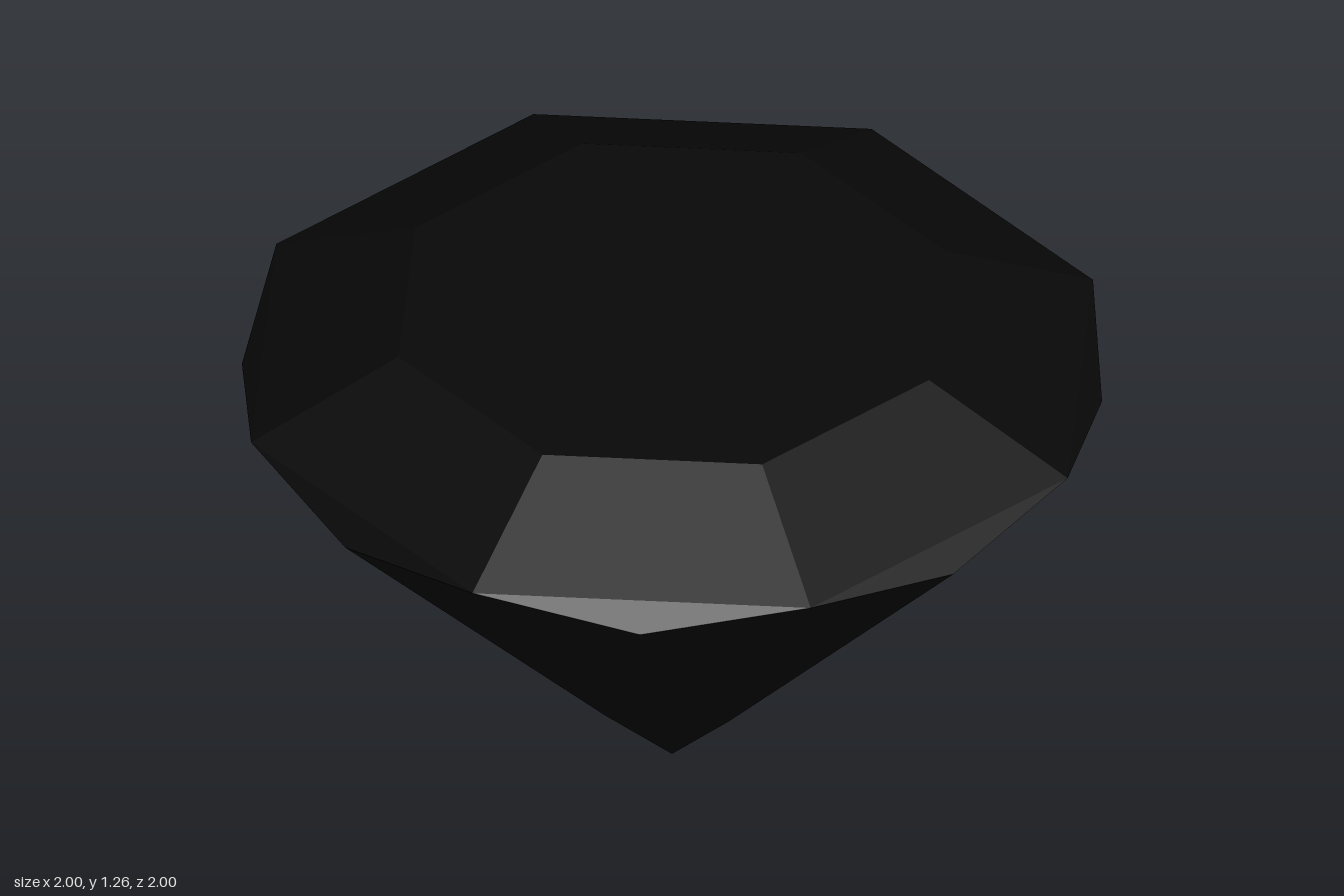
import * as THREE from 'three';

const SIDES = 8;
const TURN = 0.0997; // whole stone is turned slightly about y

// Point on a ring; step 0.5 lies midway between two main corners
function ringPoint(step, radius, y) {
  const a = TURN + (step / SIDES) * Math.PI * 2;
  return [Math.cos(a) * radius, y, Math.sin(a) * radius];
}

// Flat-faced mesh from a list of triangles
function facetMesh(name, triangles, material) {
  const geometry = new THREE.BufferGeometry();
  geometry.setAttribute('position', new THREE.Float32BufferAttribute(triangles.flat(2), 3));
  geometry.computeVertexNormals();
  const mesh = new THREE.Mesh(geometry, material);
  mesh.name = name;
  return mesh;
}

export function createModel() {
  const group = new THREE.Group();
  group.name = 'gem';
  const black = new THREE.MeshStandardMaterial({ color: 0x080808 });
  black.name = 'black';

  const tableCorner = (i) => ringPoint(i, 0.653, 1.26);
  const girdleCorner = (i) => ringPoint(i, 1.005, 1.1);
  const girdleMiddle = (i) => ringPoint(i + 0.5, 0.978, 1.04);
  const kiteCorner = (i) => ringPoint(i + 0.5, 0.2, 0.202);
  const centre = [0, 1.26, 0];
  const tip = [0, 0, 0];

  const table = [], crown = [], girdle = [], lowerFacets = [], kites = [];
  for (let i = 0; i < SIDES; i++) {
    const t0 = tableCorner(i), t1 = tableCorner(i + 1);
    const g0 = girdleCorner(i), g1 = girdleCorner(i + 1);
    const m = girdleMiddle(i), k = kiteCorner(i);
    table.push([centre, t1, t0]);
    crown.push([g0, t0, t1], [g0, t1, g1]);
    girdle.push([m, g0, g1]);
    lowerFacets.push([k, g0, m], [k, m, g1]);
    kites.push([tip, kiteCorner(i - 1), g0], [tip, g0, k]);
  }

  group.add(
    facetMesh('table', table, black),
    facetMesh('crown', crown, black),
    facetMesh('girdleFacets', girdle, black),
    facetMesh('lowerFacets', lowerFacets, black),
    facetMesh('pavilionKites', kites, black),
  );
  return group;
}
